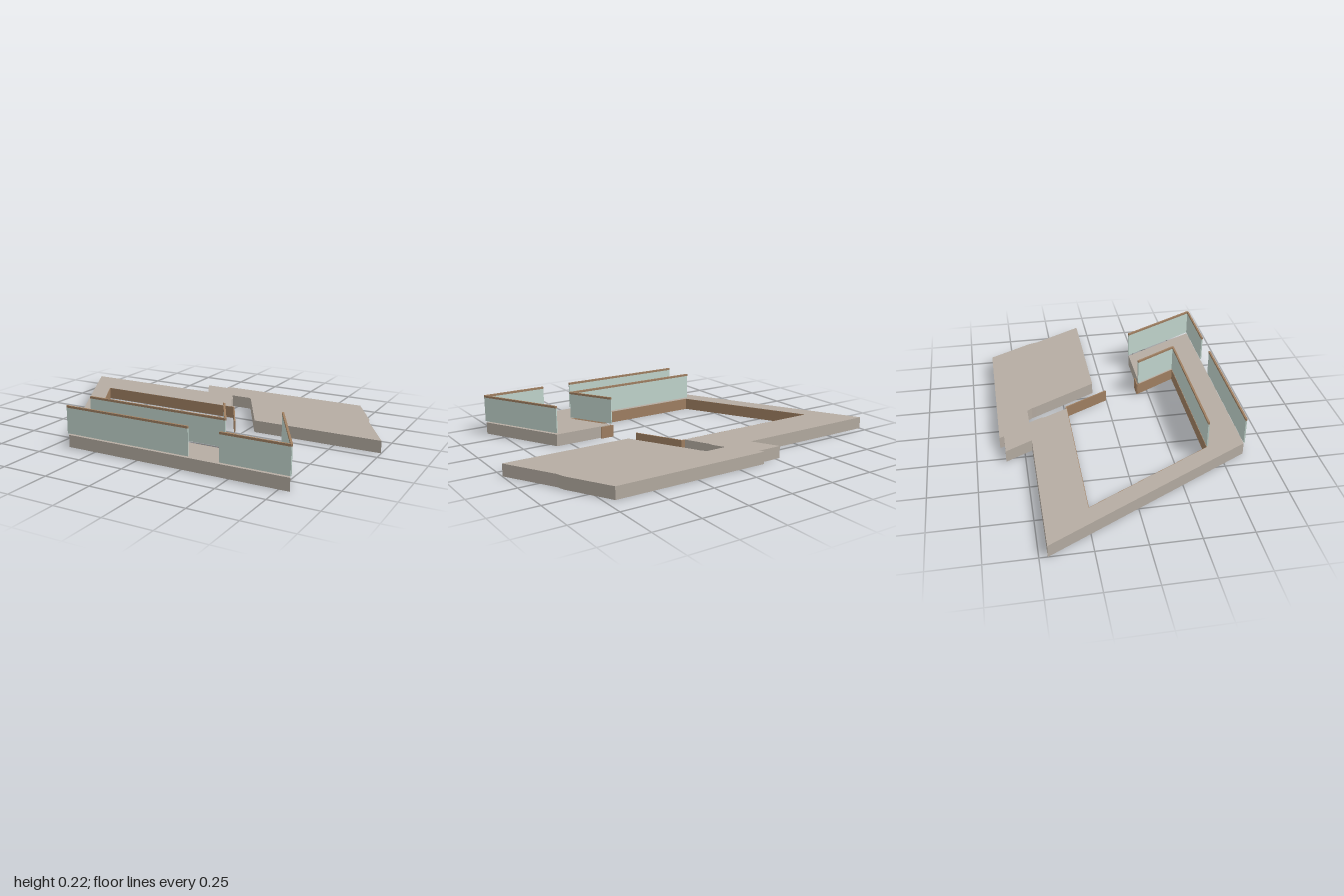
import * as THREE from 'three';

export function createModel() {
  const model = new THREE.Group();
  model.name = 'terraceLevel';

  const material = (name, color, side = THREE.FrontSide) => {
    const m = new THREE.MeshStandardMaterial({ color, side });
    m.name = name;
    return m;
  };
  const stone = material('warm grey stone', 0xb5aca2);
  const glass = material('pale green glass', 0xc2d6ce);
  const wood = material('brown timber', 0xa08062);

  const slabTop = 0.065;

  // Floor slab: one plan outline of [x, z] points, open between the two wings
  const outline = [
    [-1, -0.46], [-0.2, -0.46], [-0.275, -0.6], [-0.14, -0.6], [-0.152, -0.625],
    [0.7, -0.625], [0.83, -0.39], [0.845, -0.34], [0.998, -0.068], [0.3, -0.068],
    [0.112, -0.41], [0.1, -0.435], [0.08, -0.46], [-0.035, -0.46],
    [0, -0.395], [0.003, -0.37], [0.065, -0.25], [0.065, -0.245],
    [-0.778, -0.245], [-0.41, 0.424], [0.38, 0.424], [0.255, 0.2],
    [0.58, 0.2], [0.805, 0.62], [-0.41, 0.62],
  ];
  const shape = new THREE.Shape(outline.map(([x, z]) => new THREE.Vector2(x, -z)));
  const slabGeometry = new THREE.ExtrudeGeometry(shape, { depth: slabTop, bevelEnabled: false });
  slabGeometry.rotateX(-Math.PI / 2);
  const slab = new THREE.Mesh(slabGeometry, stone);
  slab.name = 'floorSlab';
  model.add(slab);

  // Upright panel standing on the plan line from a to b
  function panel(name, a, b, y0, y1, thickness, mat, parent = model) {
    const dx = b[0] - a[0], dz = b[1] - a[1];
    const mesh = new THREE.Mesh(new THREE.BoxGeometry(Math.hypot(dx, dz), y1 - y0, thickness), mat);
    mesh.position.set((a[0] + b[0]) / 2, (y0 + y1) / 2, (a[1] + b[1]) / 2);
    mesh.rotation.y = -Math.atan2(dz, dx);
    mesh.name = name;
    parent.add(mesh);
  }

  // Timber lining around the courtyard edges
  const lining = [
    [[0.065, -0.245], [-0.778, -0.245]],
    [[-0.778, -0.245], [-0.41, 0.424]],
    [[-0.41, 0.424], [0.38, 0.424]],
    [[0.38, 0.424], [0.247, 0.187]],
  ];
  for (const [a, b] of lining) panel('courtyardLining', a, b, 0.0006, slabTop - 0.0006, 0.005, wood);

  // Free-standing timber fascias beside the opening
  const fascias = [
    [[0.062, -0.246], [0.085, -0.246]],
    [[0.083, -0.247], [0.213, -0.004]],
    [[0.245, 0.187], [0.318, 0.187]],
    [[0.316, 0.183], [0.316, 0.191]],
  ];
  for (const [a, b] of fascias) panel('timberFascia', a, b, 0, slabTop, 0.007, wood);

  // Glass balustrades with timber handrails
  const balustrades = [
    ['frontLongBalustrade', [-0.415, 0.62], [0.29, 0.62]],
    ['frontShortBalustrade', [0.455, 0.62], [0.807, 0.62]],
    ['sideBalustrade', [0.807, 0.62], [0.578, 0.196]],
    ['courtyardBalustrade', [-0.415, 0.424], [0.381, 0.424]],
    ['innerSideBalustrade', [0.381, 0.424], [0.251, 0.191]],
  ];
  for (const [name, a, b] of balustrades) {
    const group = new THREE.Group();
    group.name = name;
    panel('glassPane', a, b, 0.074, 0.21, 0.007, glass, group);
    panel('handrail', a, b, 0.21, 0.221, 0.01, wood, group);
    model.add(group);
  }

  return model;
}
